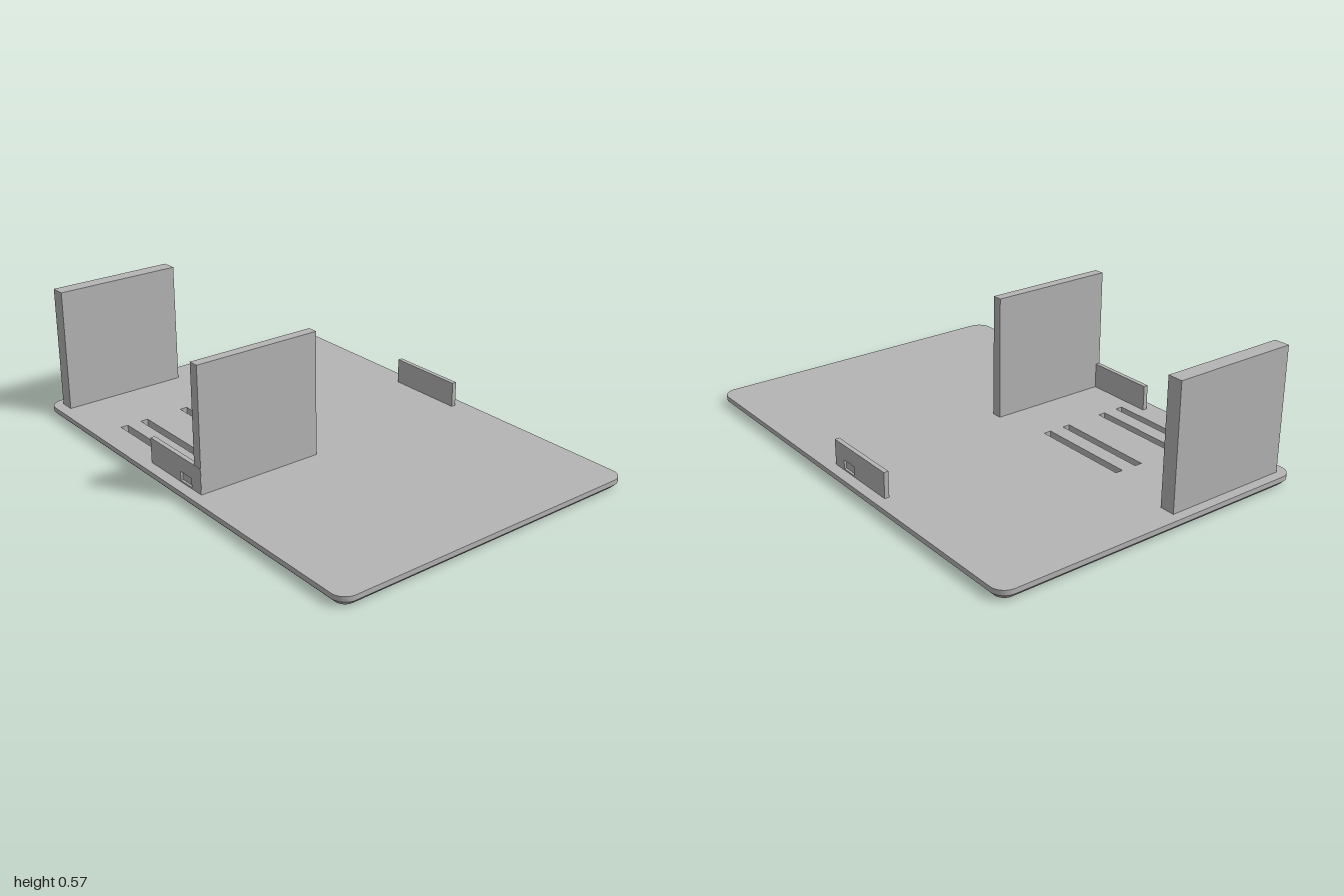
import * as THREE from 'three';
import { toCreasedNormals } from 'three/addons/utils/BufferGeometryUtils.js';

const HALF_W = 0.705, HALF_L = 1, THICK = 0.042, RADIUS = 0.06, CHAMFER = 0.02;

const grey = new THREE.MeshStandardMaterial({ color: 0xb4b4b4 });
grey.name = 'light grey';

function rectangle(Kind, x0, y0, x1, y1) {
  return new Kind([[x0, y0], [x1, y0], [x1, y1], [x0, y1]].map(p => new THREE.Vector2(...p)));
}

function add(parent, name, geometry) {
  const mesh = new THREE.Mesh(geometry, grey);
  mesh.name = name;
  parent.add(mesh);
  return mesh;
}

// Box given by its extents along each axis
function addBox(parent, name, [x0, x1], [y0, y1], [z0, z1]) {
  add(parent, name, new THREE.BoxGeometry(x1 - x0, y1 - y0, z1 - z0))
    .position.set((x0 + x1) / 2, (y0 + y1) / 2, (z0 + z1) / 2);
}

// Rounded slab with four slots and a chamfered lower rim
function baseGeometry() {
  const cx = HALF_W - RADIUS, cy = HALF_L - RADIUS;
  const outline = new THREE.Shape();
  outline.absarc(cx, cy, RADIUS, 0, Math.PI / 2);
  outline.absarc(-cx, cy, RADIUS, Math.PI / 2, Math.PI);
  outline.absarc(-cx, -cy, RADIUS, Math.PI, Math.PI * 1.5);
  outline.absarc(cx, -cy, RADIUS, Math.PI * 1.5, Math.PI * 2);
  outline.closePath();
  for (const x of [-0.569, -0.473, -0.277, -0.178]) {
    outline.holes.push(rectangle(THREE.Path, x - 0.0165, 0.159, x + 0.0165, 0.593));
  }
  const geometry = new THREE.ExtrudeGeometry(outline, {
    depth: THICK, steps: 2, bevelEnabled: false, curveSegments: 8,
  });
  // Pull the bottom outline inward to form the chamfer
  const p = geometry.attributes.position;
  const shrink = (RADIUS - CHAMFER) / RADIUS;
  const inset = (v, c) => {
    const core = THREE.MathUtils.clamp(v, -c, c);
    return core + (v - core) * shrink;
  };
  for (let i = 0; i < p.count; i++) {
    if (p.getZ(i) < 0.001) p.setXY(i, inset(p.getX(i), cx), inset(p.getY(i), cy));
  }
  geometry.rotateX(-Math.PI / 2);
  return toCreasedNormals(geometry, 0.5);
}

// Low side tab with a shallow rectangular pocket on its outer face
function addTab(parent, name, side) {
  const tab = new THREE.Group();
  tab.name = name;
  const z = [-0.235, 0.113], y = [THICK, 0.15];
  const inner = 0.638, middle = 0.648, outer = 0.658;
  addBox(tab, 'tabBacking', side > 0 ? [inner, middle] : [-middle, -inner], y, z);
  const face = rectangle(THREE.Shape, -z[1], y[0], -z[0], y[1]);
  face.holes.push(rectangle(THREE.Path, -0.05, 0.048, 0.025, 0.086));
  const geometry = new THREE.ExtrudeGeometry(face, { depth: outer - middle, bevelEnabled: false });
  geometry.rotateY(Math.PI / 2);
  add(tab, 'tabFace', geometry).position.x = side > 0 ? middle : -outer;
  parent.add(tab);
}

export function createModel() {
  const model = new THREE.Group();
  model.name = 'slottedTray';
  add(model, 'basePlate', baseGeometry());

  // Upright panels
  addBox(model, 'frontPanel', [-0.657, -0.109], [THICK, 0.567], [0.071, 0.114]);
  addBox(model, 'backPanel', [-0.657, -0.109], [THICK, 0.567], [-0.958, -0.893]);

  // Side tabs
  addTab(model, 'leftTab', 1);
  addTab(model, 'rightTab', -1);
  return model;
}
